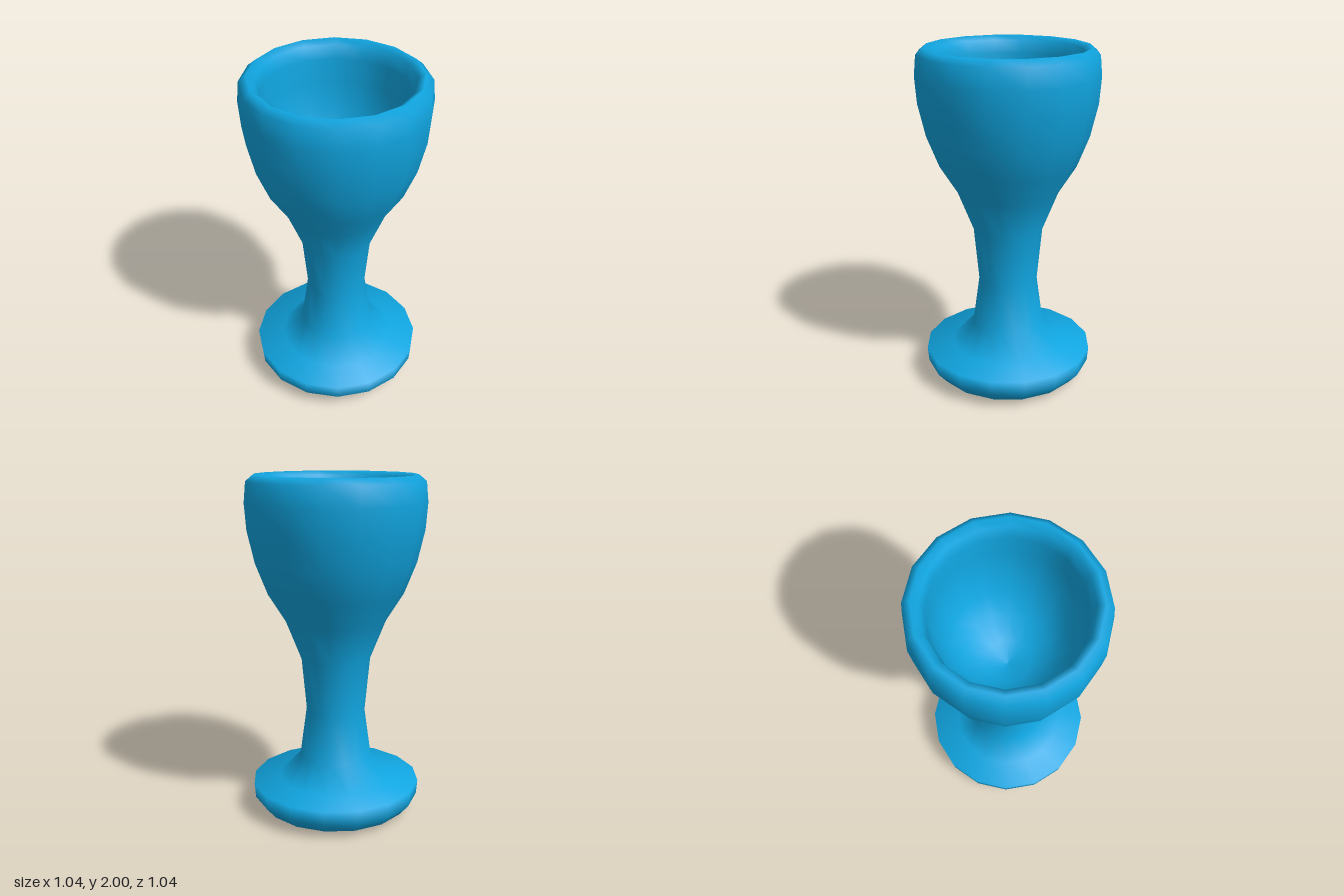
import * as THREE from 'three';

const SIDES = 16;

// Profile pieces as [radius, height], each running on from the last
const foot = [[0, 0.005], [0.18, 0.005], [0.31, 0.01], [0.44, 0.035], [0.495, 0.10], [0.502, 0.185], [0.34, 0.205]];
const stem = [[0.215, 0.335], [0.175, 0.625], [0.205, 0.945]];
const bowlOutside = [[0.295, 1.175], [0.395, 1.335], [0.465, 1.515], [0.507, 1.70], [0.518, 1.85]];
const rim = [[0.507, 1.965], [0.465, 2.0], [0.425, 1.975], [0.405, 1.9]];
const bowlInside = [[0.405, 1.76], [0.385, 1.6], [0.335, 1.44], [0.25, 1.31], [0.13, 1.23], [0, 1.2]];

export function createModel() {
  const model = new THREE.Group();
  model.name = 'goblet';

  const blue = new THREE.MeshStandardMaterial({ color: 0x10a5e0 });
  blue.name = 'blue';

  // The cup is one smooth turned skin: up the outside, over the rim, down the inside
  const profile = [...foot, ...stem, ...bowlOutside, ...rim, ...bowlInside]
    .map(([r, y]) => new THREE.Vector2(r, y));
  const cup = new THREE.Mesh(new THREE.LatheGeometry(profile, SIDES), blue);
  cup.name = 'footStemAndBowl';
  model.add(cup);

  return model;
}
